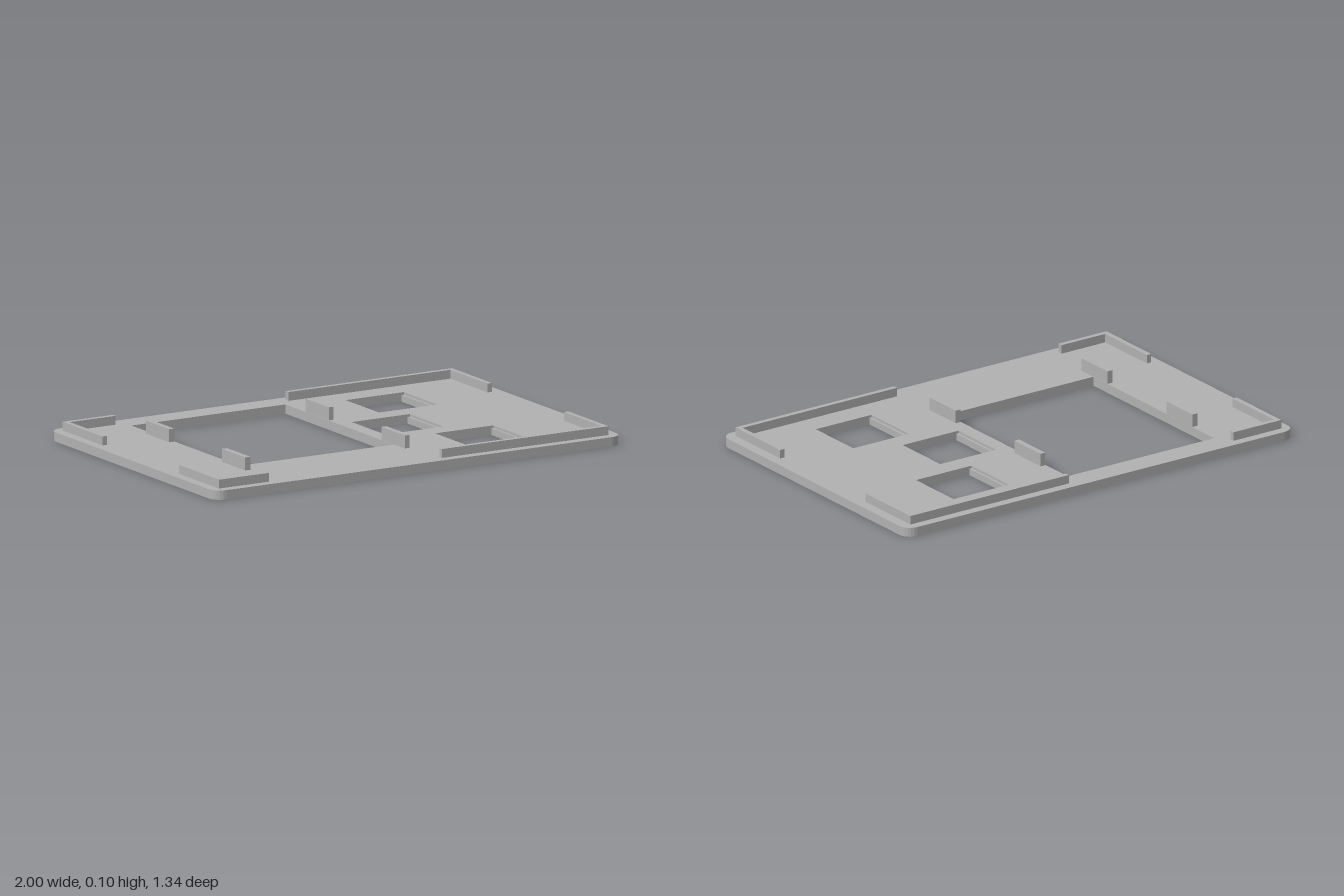
import * as THREE from 'three';

const grey = new THREE.MeshStandardMaterial({ color: 0xb2b2b2 });
grey.name = 'grey plastic';

const HALF_X = 1, HALF_Z = 0.671, RADIUS = 0.055;
const PLATE_TOP = 0.04, LEDGE = 0.029;
const SWITCHES = [[0.492, -0.361], [0.302, 0], [0.492, 0.361]];

// Rectangular hole given by x and z limits (shape y is -z)
function rectHole(x0, x1, z0, z1) {
  return new THREE.Path([
    new THREE.Vector2(x0, -z0), new THREE.Vector2(x0, -z1),
    new THREE.Vector2(x1, -z1), new THREE.Vector2(x1, -z0),
  ]);
}

// One layer of the faceplate, with switch openings of the given half width
function plateLayer(name, y0, y1, switchHalfX) {
  const shape = new THREE.Shape();
  const cx = HALF_X - RADIUS, cy = HALF_Z - RADIUS;
  [[1, 1], [-1, 1], [-1, -1], [1, -1]].forEach(([sx, sy], i) => {
    const start = i * Math.PI / 2;
    shape.absarc(sx * cx, sy * cy, RADIUS, start, start + Math.PI / 2, false);
  });
  shape.closePath();
  shape.holes.push(rectHole(-0.663, 0.092, -0.559, 0.313)); // screen window
  for (const [x, z] of SWITCHES) {
    shape.holes.push(rectHole(x - switchHalfX, x + switchHalfX, z - 0.135, z + 0.135));
  }
  const geo = new THREE.ExtrudeGeometry(shape, { depth: y1 - y0, bevelEnabled: false, curveSegments: 3 });
  geo.rotateX(-Math.PI / 2).translate(0, y0, 0);
  // flat facets on the corners
  geo.computeVertexNormals();
  const mesh = new THREE.Mesh(geo, grey);
  mesh.name = name;
  return mesh;
}

// Upright wall standing on the plate
function wall(name, x0, x1, z0, z1, top) {
  const geo = new THREE.BoxGeometry(x1 - x0, top - PLATE_TOP, z1 - z0);
  geo.translate((x0 + x1) / 2, (top + PLATE_TOP) / 2, (z0 + z1) / 2);
  const mesh = new THREE.Mesh(geo, grey);
  mesh.name = name;
  return mesh;
}

export function createModel() {
  const model = new THREE.Group();
  model.name = 'faceplate';

  // Plate: the switch openings widen above a small clip ledge
  model.add(plateLayer('plateLower', 0, LEDGE, 0.132));
  model.add(plateLayer('plateUpper', LEDGE, PLATE_TOP, 0.143));

  for (const s of [-1, 1]) {
    const end = s < 0 ? 'back' : 'front';
    const span = (name, x0, x1, a, b, top) =>
      model.add(wall(end + name, x0, x1, Math.min(s * a, s * b), Math.max(s * a, s * b), top));

    // L-shaped locating rims at the corners
    span('RightRim', -0.957, -0.711, 0.608, 0.63, 0.078);
    span('RightSideRim', -0.957, -0.935, 0.308, 0.608, 0.078);
    span('LeftRim', 0.137, 0.953, 0.608, 0.63, 0.078);
    span('LeftSideRim', 0.931, 0.953, 0.308, 0.608, 0.078);

    // Screen holder tabs beside the window
    span('RightTab', -0.689, -0.664, 0.212, 0.4, 0.096);
    span('LeftTab', 0.094, 0.118, 0.212, 0.4, 0.096);
  }
  return model;
}
